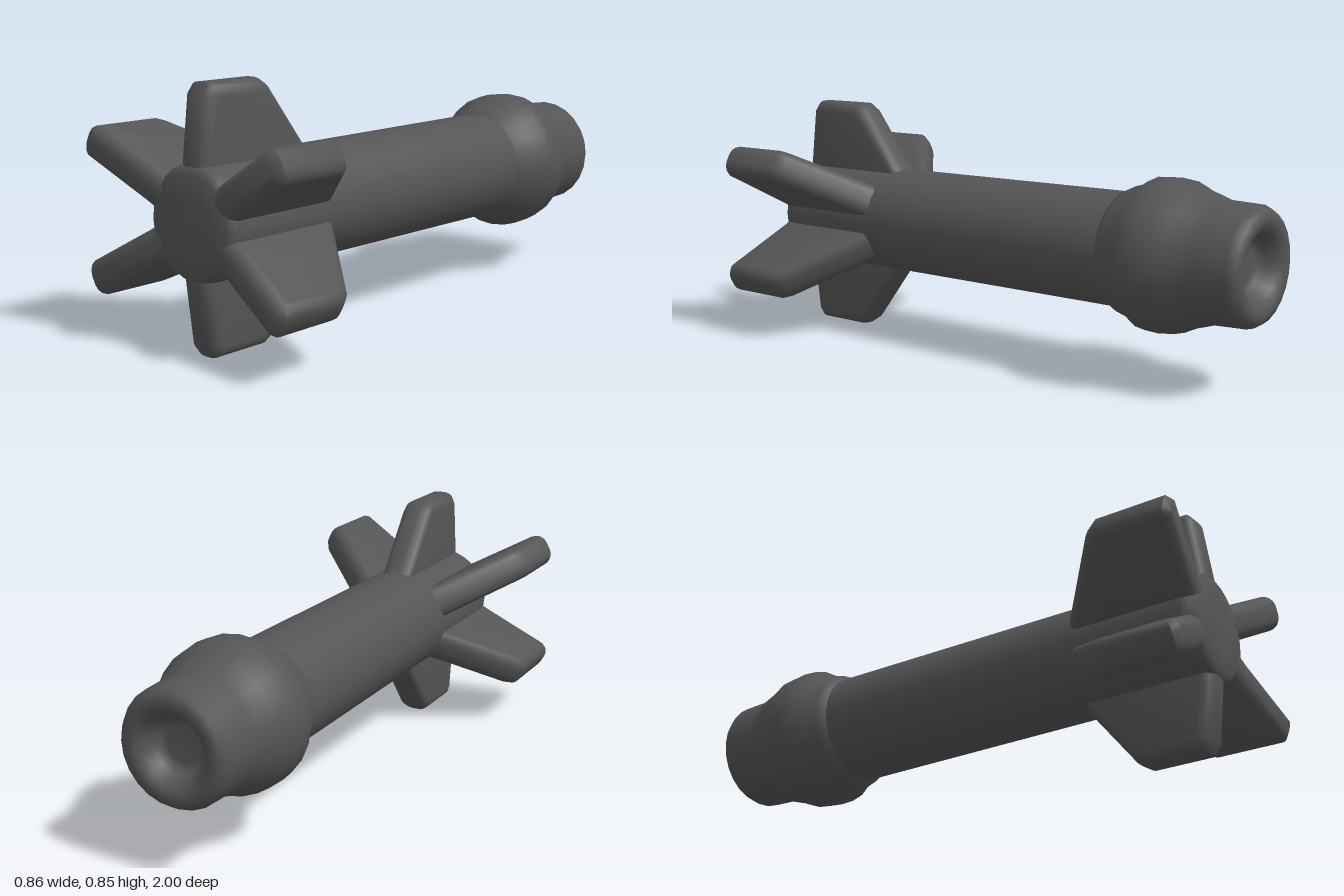
import * as THREE from 'three';
import { toCreasedNormals } from 'three/addons/utils/BufferGeometryUtils.js';

const AXIS_Y = 0.4225;

export function createModel() {
  const model = new THREE.Group();
  const darkGrey = new THREE.MeshStandardMaterial({ color: 0x555555 });
  darkGrey.name = 'darkGrey';

  const add = (name, geometry) => {
    const mesh = new THREE.Mesh(geometry, darkGrey);
    mesh.name = name;
    mesh.position.y = AXIS_Y;
    model.add(mesh);
    return mesh;
  };

  // Turned part lying along z; profile rows are [radius, z], back to front
  const turned = (profile, sides) =>
    new THREE.LatheGeometry(profile.map(([r, z]) => new THREE.Vector2(r, z)), sides)
      .rotateX(Math.PI / 2);

  // Long shaft with a softly domed front
  add('shaft', turned([
    [0.17, -0.6], [0.191, -0.5], [0.189, 0], [0.187, 0.5], [0.187, 0.9],
    [0.18, 0.93], [0.16, 0.948], [0.1, 0.955], [0, 0.958],
  ], 24));

  // Bulging collar and sleeve with a recessed back end
  const head = turned([
    [0, -0.925], [0.06, -0.925], [0.08, -0.93], [0.092, -0.95], [0.108, -0.98],
    [0.132, -0.997], [0.155, -1], [0.178, -0.992], [0.194, -0.965],
    [0.198, -0.85], [0.211, -0.81], [0.225, -0.765], [0.246, -0.72],
    [0.253, -0.66], [0.25, -0.61], [0.225, -0.57], [0.212, -0.525],
    [0.2, -0.5], [0.175, -0.48],
  ], 24);
  add('head', head);

  // Swept fin with rounded edges; outline is [z, radius]
  const fin = (outline) => {
    const shape = new THREE.Shape(outline.map(([z, r]) => new THREE.Vector2(z, r)));
    const geometry = new THREE.ExtrudeGeometry(shape, {
      depth: 0.03, bevelEnabled: true, bevelThickness: 0.045, bevelSize: 0.04,
      bevelOffset: -0.04, bevelSegments: 4,
    });
    geometry.translate(0, 0, -0.015).rotateY(-Math.PI / 2);
    return toCreasedNormals(geometry, 0.8);
  };
  const uprightFin = fin([
    [0.37, 0.04], [0.935, 0.04], [0.935, 0.19], [0.91, 0.39], [0.885, 0.4225],
    [0.68, 0.4225], [0.645, 0.4],
  ]);
  const sideFin = fin([
    [0.4, 0.04], [0.94, 0.04], [0.955, 0.19], [1, 0.45], [0.98, 0.479],
    [0.74, 0.479], [0.705, 0.455],
  ]);

  // Two upright fins and four side fins around the shaft
  const tilt = THREE.MathUtils.degToRad(61);
  [0, Math.PI].forEach((a, i) => {
    add(i ? 'lowerFin' : 'upperFin', uprightFin).rotation.z = a;
  });
  for (const [side, s] of [['left', -1], ['right', 1]]) {
    add(side + 'UpperFin', sideFin).rotation.z = s * tilt;
    add(side + 'LowerFin', sideFin).rotation.z = s * (Math.PI - tilt);
  }

  return model;
}
